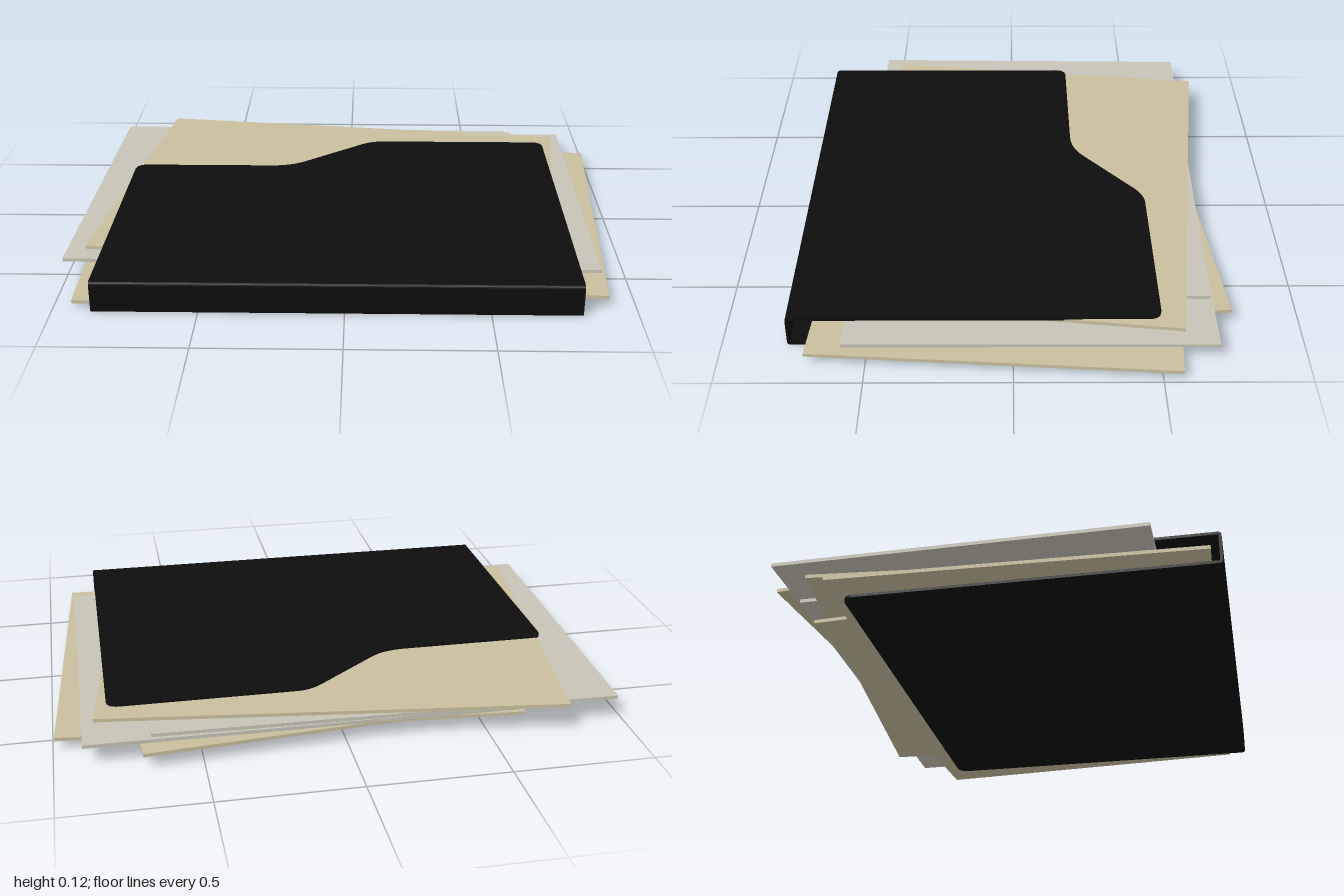
import * as THREE from 'three';

const LEFT = -0.865, RIGHT = 0.81, FRONT = 0.775, BACK = -0.505;
const HEIGHT = 0.117, COVER = 0.01, FOLD = 0.75;

export function createModel() {
  const root = new THREE.Group();
  root.name = 'folderWithPapers';

  const mat = (name, color) => {
    const m = new THREE.MeshStandardMaterial({ color });
    m.name = name;
    return m;
  };
  const black = mat('black card', 0x0d0d0d);
  const tan = mat('tan paper', 0xc9bf9c);
  const grey = mat('grey paper', 0xc7c3b5);

  const add = (parent, name, geometry, material) => {
    const mesh = new THREE.Mesh(geometry, material);
    mesh.name = name;
    parent.add(mesh);
    return mesh;
  };

  const folder = new THREE.Group();
  folder.name = 'folder';
  root.add(folder);

  // Lay a flat outline (x, -z) down as a cover with its underside at y
  const coverGeometry = (shape, y) =>
    new THREE.ExtrudeGeometry(shape, { depth: COVER, bevelEnabled: false, curveSegments: 8 })
      .rotateX(-Math.PI / 2).translate(0, y, 0);

  // Shared right side of both covers: spine edge up to the rounded back corner
  const r = 0.045;
  const startCover = () => {
    const s = new THREE.Shape();
    s.moveTo(LEFT, -FOLD);
    s.lineTo(RIGHT, -FOLD);
    s.lineTo(RIGHT, -BACK - r);
    s.quadraticCurveTo(RIGHT, -BACK, RIGHT - r, -BACK);
    return s;
  };
  const endCover = (s, z) => {
    s.lineTo(LEFT + r, -z);
    s.quadraticCurveTo(LEFT, -z, LEFT, -z - r);
    s.closePath();
    return s;
  };

  // Bottom cover, a plain rounded rectangle
  add(folder, 'bottomCover', coverGeometry(endCover(startCover(), BACK), 0), black);

  // Top cover, stepped down on one side to leave a wide tab
  const top = startCover();
  top.lineTo(0.14, 0.505);
  top.quadraticCurveTo(0.085, 0.505, 0.03, 0.455);
  top.lineTo(-0.18, 0.284);
  top.quadraticCurveTo(-0.235, 0.237, -0.32, 0.237);
  add(folder, 'topCover', coverGeometry(endCover(top, -0.237), HEIGHT - COVER), black);

  // Spine: a rounded U section run along the front edge
  const u = new THREE.Shape();
  const e = 0.014, inner = FRONT - COVER;
  u.moveTo(FOLD, 0);
  u.lineTo(FRONT - e, 0);
  u.quadraticCurveTo(FRONT, 0, FRONT, e);
  u.lineTo(FRONT, HEIGHT - e);
  u.quadraticCurveTo(FRONT, HEIGHT, FRONT - e, HEIGHT);
  u.lineTo(FOLD, HEIGHT);
  u.lineTo(FOLD, HEIGHT - COVER);
  u.lineTo(inner, HEIGHT - COVER);
  u.lineTo(inner, COVER);
  u.lineTo(FOLD, COVER);
  u.closePath();
  const spine = new THREE.ExtrudeGeometry(u, { depth: RIGHT - LEFT, bevelEnabled: false, curveSegments: 6 })
    .rotateY(-Math.PI / 2).translate(RIGHT, 0, 0);
  add(folder, 'spine', spine, black);

  // Loose sheets from bottom to top: centre x, centre z, turn (radians), paper
  const papers = new THREE.Group();
  papers.name = 'papers';
  root.add(papers);
  const sheets = [
    [-0.13, 0.08, 0.027, tan],
    [0.128, 0.013, -0.07, tan],
    [-0.06, -0.05, 0.0905, tan],
    [0.075, -0.06, -0.003, grey],
    [-0.165, -0.066, -0.0185, grey],
    [-0.035, -0.045, -0.1205, tan],
  ];
  const sheetGeometry = new THREE.BoxGeometry(1.647, 0.0125, 1.276);
  sheets.forEach(([x, z, turn, paper], i) => {
    const sheet = add(papers, `sheet${i + 1}`, sheetGeometry, paper);
    sheet.position.set(x, 0.021 + i * 0.0168, z);
    sheet.rotation.y = turn;
  });

  return root;
}
